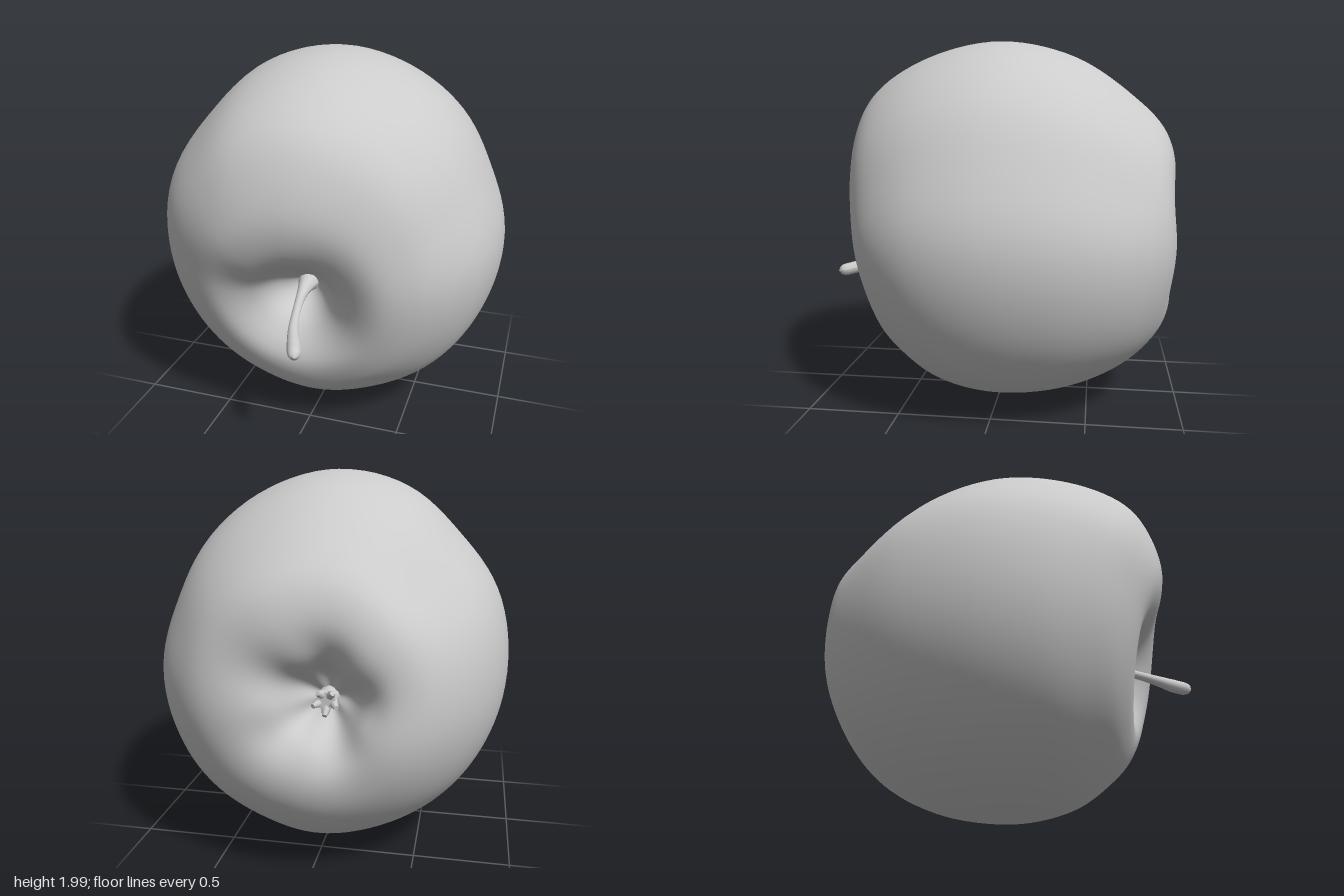
import * as THREE from 'three';

const material = new THREE.MeshStandardMaterial({ color: 0xcccccc, roughness: 0.8 });
const SIDES = 96, STEPS = 96;

// Smooth periodic interpolation through values spaced evenly round the circle
function around(values, angle) {
  const n = values.length, u = (angle / (Math.PI * 2)) * n, i = Math.floor(u), t = u - i;
  const [a, b, c, d] = [-1, 0, 1, 2].map(k => values[(i + k + n) % n]);
  return b + 0.5 * t * (c - a + t * (2 * a - 5 * b + 4 * c - d + t * (3 * (b - c) + d - a)));
}

// Outline radius at the widest section and height of the front rim, counter-clockwise from +x
const outline = [0.945, 0.915, 0.945, 0.97, 0.992, 0.98, 0.935, 0.95,
  0.95, 0.96, 0.975, 0.985, 1, 0.975, 0.97, 0.955];
const frontRim = [0.73, 0.79, 0.86, 0.855, 0.75, 0.68, 0.65, 0.67];

// One meridian, from the stem hollow over the flesh to the blossom hollow
function meridian(a) {
  const R = around(outline, a), zf = around(frontRim, a);
  const lobe = Math.cos(5 * (a - 0.5)), side = Math.cos(a) ** 2;
  const rings = [ // centre x, centre y, radius, z
    [-0.02, 0.82, 0, 0.38],
    [-0.02, 0.84, 0.11, zf * 0.6 + 0.06],
    [-0.01, 0.85, 0.23, zf - 0.075],
    [0, 0.87, 0.42, zf],
    [0, 0.93, 0.64 * R, zf - 0.055],
    [0, 0.96, 0.785 * R, zf - 0.17],
    [0, 0.99, 0.93 * R, zf * 0.46],
    [0, 1, R, 0],
    [0, 0.985, (0.93 + 0.015 * side) * R, -0.4],
    [0, 0.96, (0.745 + 0.025 * side) * R, -0.72],
    [-0.02, 0.97, 0.55, -0.895 + 0.005 * lobe],
    [-0.04, 0.97, 0.38, -0.94 + 0.008 * lobe],
    [-0.07, 0.96, 0.24, -0.895 + 0.014 * lobe],
    [-0.085, 0.95, 0.11, -0.76 + 0.01 * lobe],
    [-0.09, 0.945, 0, -0.69],
  ];
  return new THREE.CatmullRomCurve3(rings.map(([x, y, r, z]) =>
    new THREE.Vector3(x + r * Math.cos(a), y + r * Math.sin(a), z)), false, 'centripetal');
}

function fleshGeometry() {
  const pos = [], index = [], row = STEPS + 1;
  for (let i = 0; i < SIDES; i++) {
    const curve = meridian((i / SIDES) * Math.PI * 2);
    for (let j = 0; j <= STEPS; j++) pos.push(...curve.getPoint(j / STEPS).toArray());
    const next = ((i + 1) % SIDES) * row;
    for (let j = 0; j < STEPS; j++) {
      const a = i * row + j, c = next + j;
      index.push(a, a + 1, c, c, a + 1, c + 1);
    }
  }
  const g = new THREE.BufferGeometry();
  g.setAttribute('position', new THREE.Float32BufferAttribute(pos, 3));
  g.setIndex(index);
  g.computeVertexNormals();
  return g;
}

// Curved stalk whose thickness follows a list of radii, rounded off at its tip
function stemGeometry() {
  const path = new THREE.CatmullRomCurve3([
    [-0.02, 0.83, 0.36], [-0.02, 0.8, 0.53], [-0.005, 0.765, 0.66],
    [0.02, 0.725, 0.78], [0.06, 0.695, 0.88], [0.09, 0.68, 0.96],
  ].map(p => new THREE.Vector3(...p)));
  const radii = [0.08, 0.065, 0.045, 0.032, 0.025, 0.022, 0.022, 0.023, 0.026, 0.03, 0.035, 0.035, 0];
  const segs = 48, sides = 14, g = new THREE.TubeGeometry(path, segs, 1, sides);
  const p = g.attributes.position, v = new THREE.Vector3();
  for (let i = 0; i <= segs; i++) {
    const centre = path.getPointAt(i / segs);
    const u = (i / segs) * (radii.length - 1), k = Math.min(Math.floor(u), radii.length - 2);
    const t = u - k, last = k === radii.length - 2;
    const r = last ? radii[k] * Math.sqrt(Math.max(0, 1 - t * t)) : THREE.MathUtils.lerp(radii[k], radii[k + 1], t);
    for (let j = 0; j <= sides; j++) {
      const n = i * (sides + 1) + j;
      v.fromBufferAttribute(p, n).sub(centre).multiplyScalar(r).add(centre);
      p.setXYZ(n, v.x, v.y, v.z);
    }
  }
  g.computeVertexNormals();
  return g;
}

function add(parent, name, geometry) {
  const mesh = new THREE.Mesh(geometry, material);
  mesh.name = name;
  parent.add(mesh);
  return mesh;
}

export function createModel() {
  const model = new THREE.Group();
  model.name = 'apple';
  add(model, 'flesh', fleshGeometry());
  add(model, 'stem', stemGeometry());

  // Dried blossom: a stub ringed by short, thick withered sepals
  const blossom = new THREE.Group();
  blossom.name = 'blossom';
  blossom.position.set(-0.09, 0.945, -0.68);
  blossom.rotation.x = -Math.PI / 2;
  model.add(blossom);
  add(blossom, 'blossomStub', new THREE.CylinderGeometry(0.045, 0.06, 0.14, 12)).position.y = 0.05;
  for (let i = 0; i < 5; i++) {
    const arm = new THREE.Group();
    arm.name = 'sepalArm';
    arm.rotation.y = (i / 5) * Math.PI * 2 + 0.3;
    blossom.add(arm);
    const sepal = add(arm, 'sepal', new THREE.CylinderGeometry(0.012, 0.03, 0.07, 7));
    sepal.position.set(0.042, 0.115, 0);
    sepal.rotation.z = -0.5 - 0.15 * (i % 2);
  }
  return model;
}
